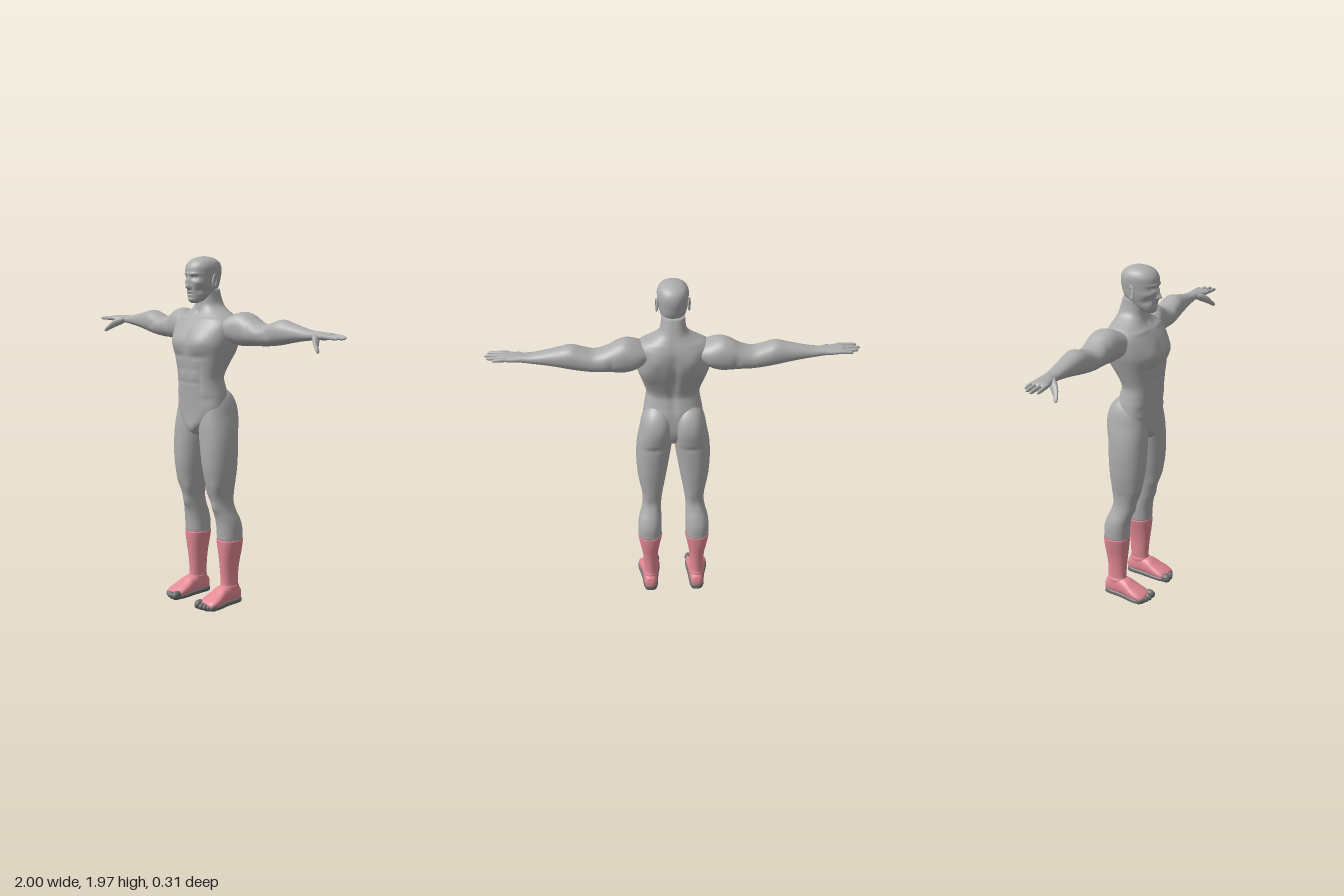
import * as THREE from 'three';

const skin = new THREE.MeshStandardMaterial({ color: 0xadadad });
skin.name = 'grey skin';
const pink = new THREE.MeshStandardMaterial({ color: 0xe48a95 });
pink.name = 'pink sock';
const dark = new THREE.MeshStandardMaterial({ color: 0x6c6c6c });
dark.name = 'dark sole';

// Axis layouts: component indices of [a, t, b] for each loft direction
const AXES = { x: [2, 0, 1], y: [0, 1, 2], z: [1, 2, 0] };

// Smooth interpolation between section rows [t, aMin, aMax, bMin, bMax]
function sample(rows, i, u) {
  const last = rows.length - 1, p = rows[i], q = rows[i + 1], h = q[0] - p[0];
  const slope = (k, j) => {
    const lo = rows[Math.max(k - 1, 0)], hi = rows[Math.min(k + 1, last)];
    return (hi[j] - lo[j]) / (hi[0] - lo[0]);
  };
  return p.map((v, j) => j === 0 ? v + h * u :
    v * (2 * u ** 3 - 3 * u * u + 1) + q[j] * (3 * u * u - 2 * u ** 3) +
    h * (slope(i, j) * (u ** 3 - 2 * u * u + u) + slope(i + 1, j) * (u ** 3 - u * u)));
}

// Muscle and face modelling: [centre xyz, radius xyz, push xyz], symmetric in x
function sculpt(p, bumps) {
  const side = Math.sign(p[0]), q = [Math.abs(p[0]), p[1], p[2]], out = [...p];
  for (const b of bumps) {
    const d = q.reduce((s, v, k) => s + ((v - b[k]) / b[k + 3]) ** 2, 0);
    const w = Math.exp(-d);
    out[0] += side * b[6] * w;
    out[1] += b[7] * w;
    out[2] += b[8] * w;
  }
  return out;
}

// Closed skin through rounded sections
function loft(axis, rows, { n = 2.2, seg = 48, sub = 5, bumps = [] } = {}) {
  const [A, T, B] = AXES[axis], pos = [], idx = [], rings = [];
  for (let i = 0; i < rows.length - 1; i++)
    for (let k = 0; k < sub; k++) rings.push(sample(rows, i, k / sub));
  rings.push(rows[rows.length - 1]);
  const round = (v) => Math.sign(v) * Math.abs(v) ** (2 / n);
  const put = (t, a, b) => {
    const p = [0, 0, 0];
    p[A] = a; p[T] = t; p[B] = b;
    pos.push(...sculpt(p, bumps));
  };
  for (const [t, a0, a1, b0, b1] of rings)
    for (let j = 0; j < seg; j++) {
      const th = (j / seg) * Math.PI * 2;
      put(t, (a0 + a1) / 2 + (a1 - a0) / 2 * round(Math.cos(th)),
        (b0 + b1) / 2 + (b1 - b0) / 2 * round(Math.sin(th)));
    }
  const top = rings.length - 1, c0 = rings.length * seg;
  for (const [t, a0, a1, b0, b1] of [rings[0], rings[top]]) put(t, (a0 + a1) / 2, (b0 + b1) / 2);
  for (let j = 0; j < seg; j++) {
    const k = (j + 1) % seg;
    for (let i = 0; i < top; i++) {
      const a = i * seg + j, b = i * seg + k;
      idx.push(a, a + seg, b, b, a + seg, b + seg);
    }
    idx.push(c0, j, k, c0 + 1, top * seg + k, top * seg + j);
  }
  const g = new THREE.BufferGeometry();
  g.setAttribute('position', new THREE.Float32BufferAttribute(pos, 3));
  g.setIndex(idx);
  g.computeVertexNormals();
  return g;
}

function ellipsoid(x, y, z, rx, ry, rz) {
  return new THREE.SphereGeometry(1, 24, 16).scale(rx, ry, rz).translate(x, y, z);
}

function mirrored(geo) {
  const g = geo.clone().scale(-1, 1, 1), ix = g.index;
  for (let i = 0; i < ix.count; i += 3) {
    const a = ix.getX(i);
    ix.setX(i, ix.getX(i + 1));
    ix.setX(i + 1, a);
  }
  g.computeVertexNormals();
  return g;
}

export function createModel() {
  const model = new THREE.Group();
  model.name = 'figure';
  const add = (name, geo, mat) => {
    const m = new THREE.Mesh(geo, mat);
    m.name = name;
    model.add(m);
  };
  const pair = (name, geo, mat) => {
    add('left ' + name, geo, mat);
    add('right ' + name, mirrored(geo), mat);
  };
  const wide = (rows) => rows.map(([y, w, b, f]) => [y, -w, w, b, f]);

  // Torso and neck
  add('torso', loft('y', wide([
    [0.985, 0.015, -0.03, 0.07], [1.0, 0.035, -0.06, 0.095], [1.03, 0.075, -0.085, 0.108],
    [1.07, 0.13, -0.1, 0.108], [1.115, 0.165, -0.105, 0.108], [1.2, 0.163, -0.1, 0.113],
    [1.26, 0.152, -0.085, 0.118], [1.31, 0.147, -0.077, 0.123], [1.38, 0.166, -0.1, 0.126],
    [1.45, 0.188, -0.128, 0.134], [1.5, 0.203, -0.143, 0.135], [1.56, 0.21, -0.148, 0.118],
    [1.61, 0.205, -0.147, 0.09], [1.645, 0.17, -0.138, 0.06], [1.67, 0.122, -0.128, 0.044],
    [1.7, 0.08, -0.117, 0.036], [1.74, 0.066, -0.105, 0.035], [1.79, 0.062, -0.09, 0.03],
  ]), { n: 2.35, seg: 96, bumps: [
    [0.09, 1.5, 0.13, 0.075, 0.055, 0.06, 0, 0, 0.014],      // pecs
    [0.09, 1.425, 0.14, 0.08, 0.013, 0.06, 0, 0, -0.008],
    [0, 1.5, 0.14, 0.012, 0.06, 0.06, 0, 0, -0.008],         // sternum
    [0, 1.28, 0.12, 0.01, 0.1, 0.05, 0, 0, -0.005],          // belly lines
    [0.085, 1.3, 0.11, 0.013, 0.09, 0.05, 0, 0, -0.006],
    [0.04, 1.35, 0.12, 0.04, 0.008, 0.05, 0, 0, -0.004],
    [0.04, 1.28, 0.12, 0.04, 0.008, 0.05, 0, 0, -0.004],
    [0.12, 1.19, 0.08, 0.04, 0.012, 0.06, 0, 0, -0.006],     // hip line
    [0, 1.4, -0.13, 0.02, 0.17, 0.07, 0, 0, 0.02],           // spine
    [0.14, 1.46, -0.1, 0.05, 0.08, 0.07, 0.012, 0, -0.008],  // lats
    [0.1, 1.56, -0.15, 0.05, 0.05, 0.05, 0, 0, -0.012],      // shoulder blades
    [0.1, 1.628, 0.06, 0.08, 0.009, 0.05, 0, 0.002, 0.006],  // collarbones
    [0, 1.66, 0.04, 0.012, 0.02, 0.04, 0, 0, -0.008],
  ] }), skin);

  // Head
  add('head', loft('y', wide([
    [1.715, 0.018, 0.05, 0.085], [1.725, 0.036, 0.02, 0.096], [1.75, 0.053, -0.03, 0.102],
    [1.78, 0.065, -0.072, 0.106], [1.81, 0.073, -0.09, 0.109], [1.85, 0.078, -0.1, 0.112],
    [1.88, 0.082, -0.104, 0.112], [1.91, 0.083, -0.101, 0.108], [1.935, 0.074, -0.088, 0.092],
    [1.95, 0.059, -0.067, 0.071], [1.96, 0.039, -0.044, 0.046], [1.966, 0.012, -0.015, 0.015],
  ]), { n: 2.15, seg: 128, sub: 7, bumps: [
    [0, 1.805, 0.11, 0.012, 0.014, 0.06, 0, 0, 0.022],        // nose
    [0, 1.832, 0.11, 0.01, 0.022, 0.06, 0, 0, 0.012],
    [0.012, 1.8, 0.11, 0.008, 0.007, 0.06, 0, 0, 0.007],
    [0.034, 1.854, 0.095, 0.018, 0.011, 0.06, 0, 0, -0.014],  // eye sockets
    [0.03, 1.873, 0.1, 0.03, 0.007, 0.06, 0, 0, 0.006],       // brows
    [0.05, 1.825, 0.08, 0.02, 0.014, 0.05, 0.004, 0, 0.004],  // cheeks
    [0.052, 1.785, 0.07, 0.015, 0.018, 0.05, -0.006, 0, -0.004],
    [0, 1.773, 0.105, 0.02, 0.005, 0.06, 0, 0, 0.005],        // lips
    [0, 1.757, 0.105, 0.017, 0.005, 0.06, 0, 0, 0.005],
    [0, 1.765, 0.105, 0.024, 0.003, 0.06, 0, 0, -0.005],
    [0, 1.733, 0.1, 0.022, 0.01, 0.06, 0, 0, 0.006],          // chin
  ] }), skin);
  pair('eye', ellipsoid(0.033, 1.853, 0.083, 0.013, 0.007, 0.011), skin);

  // Ears
  const placeEar = (g) => g.rotateX(-0.12).rotateY(0.25).translate(0.082, 1.835, -0.002);
  pair('ear', placeEar(ellipsoid(0, 0, 0, 0.006, 0.033, 0.017)), skin);
  pair('ear rim', placeEar(new THREE.TorusGeometry(0.016, 0.0045, 8, 28)
    .rotateY(Math.PI / 2).scale(1, 1.95, 1).translate(0.004, 0, 0)), skin);

  // Arm from shoulder to palm
  pair('arm', loft('x', [
    [0.13, -0.12, 0.02, 1.55, 1.62], [0.19, -0.148, 0.035, 1.505, 1.652],
    [0.25, -0.156, 0.02, 1.488, 1.672], [0.3, -0.156, 0.01, 1.49, 1.66],
    [0.36, -0.152, 0.003, 1.495, 1.627], [0.42, -0.148, 0, 1.497, 1.612],
    [0.48, -0.146, -0.003, 1.503, 1.627], [0.54, -0.141, -0.01, 1.512, 1.645],
    [0.6, -0.133, -0.018, 1.525, 1.633], [0.68, -0.122, -0.028, 1.54, 1.615],
    [0.75, -0.113, -0.033, 1.55, 1.602], [0.8, -0.108, -0.034, 1.556, 1.6],
    [0.85, -0.11, -0.02, 1.559, 1.598], [0.89, -0.108, -0.008, 1.563, 1.597],
    [0.91, -0.102, -0.012, 1.567, 1.592], [0.918, -0.08, -0.03, 1.575, 1.585],
  ], { bumps: [
    [0.33, 1.6, -0.02, 0.016, 0.05, 0.05, 0, 0, -0.007],   // deltoid edge
    [0.4, 1.57, 0, 0.05, 0.03, 0.04, 0, 0, 0.005],         // biceps
    [0.48, 1.57, -0.005, 0.02, 0.03, 0.04, 0, 0, -0.006],  // elbow crease
    [0.33, 1.55, -0.15, 0.016, 0.05, 0.05, 0, 0, 0.006],
  ] }), skin);

  // Fingers: root z, tip z, tip x
  [[-0.096, -0.101, 0.955], [-0.073, -0.076, 0.985], [-0.047, -0.045, 1.0], [-0.021, -0.012, 0.985]]
    .forEach(([z0, z1, tip], i) => {
      const rows = [[0, 0.011], [0.3, 0.0115], [0.55, 0.0105], [0.8, 0.0095], [0.94, 0.007], [1, 0.0015]]
        .map(([u, r]) => {
          const x = 0.875 + (tip - 0.875) * u, z = z0 + (z1 - z0) * u, y = 1.581 - 0.004 * u;
          return [x, z - r, z + r, y - r, y + r];
        });
      pair('finger ' + (i + 1), loft('x', rows, { seg: 16, sub: 3 }), skin);
    });
  pair('thumb', loft('x', [
    [0.79, -0.075, -0.03, 1.563, 1.59], [0.82, -0.055, -0.005, 1.543, 1.588],
    [0.845, -0.03, 0.015, 1.528, 1.572], [0.868, 0.0, 0.028, 1.513, 1.543],
    [0.885, 0.012, 0.035, 1.502, 1.526], [0.893, 0.02, 0.032, 1.502, 1.512],
  ], { seg: 20 }), skin);

  // Leg from sock to buttock
  pair('leg', loft('y', [
    [0.38, 0.071, 0.204, -0.147, -0.001], [0.45, 0.07, 0.205, -0.145, 0.003],
    [0.5, 0.07, 0.199, -0.132, 0.01], [0.55, 0.071, 0.185, -0.112, 0.024],
    [0.6, 0.069, 0.177, -0.1, 0.038], [0.66, 0.061, 0.18, -0.102, 0.057],
    [0.72, 0.05, 0.192, -0.107, 0.075], [0.8, 0.036, 0.204, -0.115, 0.09],
    [0.9, 0.02, 0.209, -0.121, 0.096], [0.98, 0.008, 0.206, -0.125, 0.096],
    [1.04, 0.003, 0.198, -0.135, 0.095], [1.1, 0.001, 0.186, -0.142, 0.09],
    [1.16, 0.003, 0.175, -0.132, 0.08], [1.21, 0.02, 0.155, -0.105, 0.06],
    [1.25, 0.05, 0.12, -0.06, 0.02],
  ], { bumps: [
    [0.122, 0.57, 0.03, 0.028, 0.032, 0.04, 0, 0, 0.009],    // kneecap
    [0.085, 0.66, 0.045, 0.025, 0.04, 0.04, -0.003, 0, 0.006],
    [0.16, 0.69, 0.05, 0.025, 0.05, 0.04, 0.003, 0, 0.005],
    [0.125, 0.6, -0.1, 0.03, 0.05, 0.04, 0, 0, 0.006],       // back of knee
    [0.1, 0.995, -0.13, 0.07, 0.014, 0.05, 0, 0, 0.006],     // buttock fold
  ] }), skin);

  // Sock and foot
  pair('sock', loft('y', [
    [0.07, 0.1, 0.178, -0.132, -0.005], [0.108, 0.096, 0.18, -0.133, -0.012],
    [0.116, 0.099, 0.176, -0.13, -0.016], [0.14, 0.098, 0.175, -0.128, -0.018],
    [0.2, 0.095, 0.178, -0.13, -0.014], [0.26, 0.09, 0.185, -0.137, -0.008],
    [0.32, 0.08, 0.197, -0.146, -0.002], [0.378, 0.068, 0.207, -0.15, 0.002],
    [0.386, 0.07, 0.205, -0.148, 0],
  ]), pink);
  const footRows = [
    [-0.147, 0.035, 0.06, 0.125, 0.15], [-0.14, 0.02, 0.09, 0.11, 0.165],
    [-0.11, 0.012, 0.113, 0.1, 0.177], [-0.05, 0.012, 0.122, 0.095, 0.183],
    [0.0, 0.012, 0.112, 0.09, 0.192], [0.04, 0.012, 0.088, 0.084, 0.202],
    [0.08, 0.012, 0.068, 0.082, 0.206], [0.105, 0.014, 0.054, 0.085, 0.2],
    [0.12, 0.02, 0.044, 0.092, 0.185],
  ];
  pair('foot', loft('z', footRows, { n: 2.4 }), pink);
  pair('sole', loft('z', footRows.map(([z, , , a, b], i) =>
    [z, i ? 0 : 0.008, i ? 0.036 : 0.03, a - 0.003, b + 0.003]), { n: 3 }), dark);

  // Toes: x, z, radius
  [[0.1, 0.122, 0.021], [0.131, 0.122, 0.015], [0.154, 0.114, 0.014], [0.175, 0.104, 0.013], [0.194, 0.092, 0.013]]
    .forEach(([x, z, r], i) =>
      pair('toe ' + (i + 1), ellipsoid(x, r + 0.008, z, r, r + 0.006, r * 0.6 + 0.02), dark));

  return model;
}
